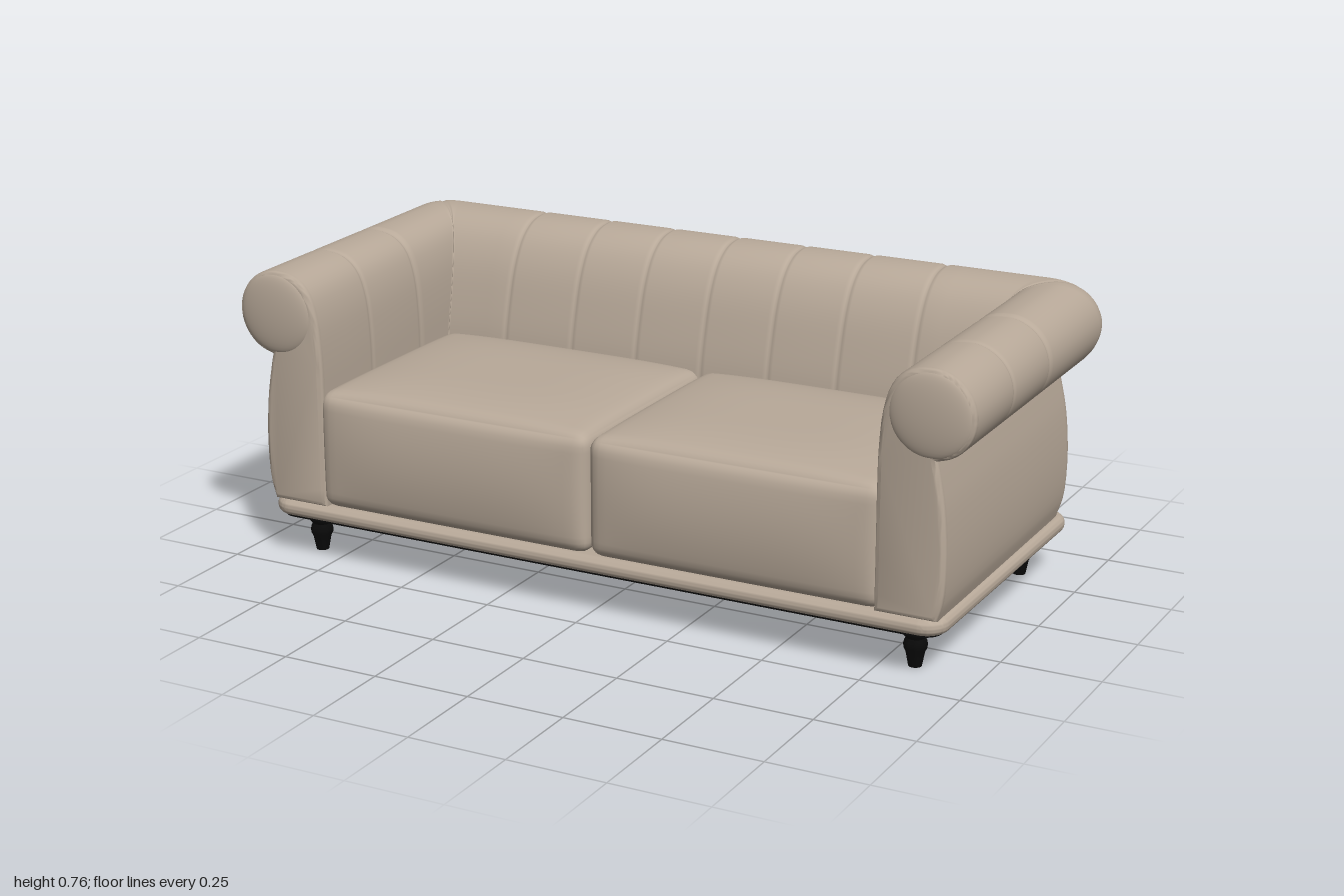
import * as THREE from 'three';
import { mergeVertices, toCreasedNormals } from 'three/addons/utils/BufferGeometryUtils.js';

const V = (a, b, y) => new THREE.Vector3(a, b, y);
const { clamp, lerp } = THREE.MathUtils;

// Cross-sections hold (arm distance from x = 0, back distance from z = 0, height)
function padSection() {
  const pts = [V(.755, .15, .15), V(.755, .15, .3), V(.755, .153, .44), V(.757, .175, .55),
    V(.767, .205, .645), V(.79, .245, .71), V(.83, .295, .745)];
  for (let deg = 90; deg >= -80; deg -= 17) {
    const t = deg * Math.PI / 180, c = Math.cos(t) * .11, s = Math.sin(t) * .11;
    pts.push(V(.885 + c, .353 + c, .645 + s));
  }
  return new THREE.CatmullRomCurve3(pts).getPoints(56);
}

function panelSection() {
  return new THREE.CatmullRomCurve3([V(.902, .375, .55), V(.912, .388, .5), V(.925, .401, .42),
    V(.932, .408, .3), V(.926, .403, .2), V(.912, .39, .15)]).getPoints(16);
}

// Stations along one half of the U: down the arm, round the corner, along the back
function halfStations(armSeams, backSeams, groove) {
  const withSeams = (list, seams) => {
    const out = list.map(t => ({ t, g: 0 }));
    for (const s of seams)
      for (const [d, k] of [[-.014, 0], [-.005, .55], [0, 1], [.005, .55], [.014, 0]])
        out.push({ t: s + d, g: k * groove });
    return out.filter(o => o.t > -.04).sort((p, q) => q.t - p.t);
  };
  const arm = withSeams([.43, .32, .1, -.039], armSeams).map(o => ({ kind: 'arm', ...o }));
  const corner = [];
  for (let i = 0; i <= 12; i++) corner.push({ kind: 'corner', t: i / 12, g: i === 6 ? groove * .6 : 0 });
  const back = withSeams([.64, .48, .28, .1, 0], backSeams)
    .filter(o => o.t >= 0 && !(o.t === 0 && o.g === 0 && backSeams.includes(0)))
    .map(o => ({ kind: 'back', ...o }));
  return [...arm, ...corner, ...back];
}

function place(p, st) {
  // Seams are pulled in toward the core of the roll
  const q = p.clone();
  if (st.g) q.add(V(.86, .32, .6).sub(p).normalize().multiplyScalar(st.g));
  const r = .004 + .1 * clamp((p.x - .8) / .19, 0, 1);
  if (st.kind === 'arm') return [q.x, q.z + .008 * clamp((.43 - st.t) / .8, 0, 1), -0 + st.t];
  if (st.kind === 'back') return [st.t, q.z + .008, -q.y];
  const t = st.t * Math.PI / 2;
  return [q.x - r + r * Math.cos(t), q.z + .008, -q.y + r - r * Math.sin(t)];
}

function sweep(section, half) {
  const rows = half.map(st => section.map(p => place(p, st)));
  const mirrored = rows.slice(0, -1).reverse().map(row => row.map(([x, y, z]) => [-x, y, z]));
  const all = [...rows, ...mirrored], n = section.length, index = [];
  for (let i = 0; i < all.length - 1; i++)
    for (let j = 0; j < n - 1; j++) {
      const a = i * n + j, b = a + 1, c = a + n, d = c + 1;
      index.push(a, b, c, b, d, c);
    }
  const g = new THREE.BufferGeometry();
  g.setAttribute('position', new THREE.Float32BufferAttribute(all.flat(2), 3));
  g.setIndex(index);
  g.computeVertexNormals();
  return g;
}

// Plump cushion: rounded box whose top and front swell outward
function cushionGeometry(w, h, d, r) {
  const g = new THREE.BoxGeometry(2, 2, 2, 28, 20, 28);
  g.deleteAttribute('uv');
  g.deleteAttribute('normal');
  const pos = g.attributes.position, size = V(w / 2, h / 2, d / 2), p = V(0, 0, 0);
  for (let i = 0; i < pos.count; i++) {
    p.fromBufferAttribute(pos, i);
    const [u, v, k] = p.toArray().map(c => Math.sin(c * Math.PI / 2));
    p.set(u, v, k).multiply(size);
    const inner = V(...p.toArray().map((c, a) => clamp(c, -size.getComponent(a) + r, size.getComponent(a) - r)));
    p.sub(inner).setLength(r).add(inner);
    if (v > 0) p.y += .026 * v * (1 - u ** 4) * (1 - k ** 4);
    if (k > 0) p.z += .02 * k * (1 - u ** 4) * (1 - v * v);
    pos.setXYZ(i, p.x, p.y, p.z);
  }
  const merged = mergeVertices(g, 1e-5);
  merged.computeVertexNormals();
  return merged;
}

// Rounded rectangle in x and z, extruded upward
function slab(x, zBack, zFront, r, y0, y1, bevel) {
  const s = new THREE.Shape();
  const lo = -zFront, hi = -zBack;
  s.moveTo(-x + r, lo);
  s.lineTo(x - r, lo);
  s.absarc(x - r, lo + r, r, -Math.PI / 2, 0);
  s.lineTo(x, hi - r);
  s.absarc(x - r, hi - r, r, 0, Math.PI / 2);
  s.lineTo(-x + r, hi);
  s.absarc(-x + r, hi - r, r, Math.PI / 2, Math.PI);
  s.lineTo(-x, lo + r);
  s.absarc(-x + r, lo + r, r, Math.PI, Math.PI * 1.5);
  const g = new THREE.ExtrudeGeometry(s, {
    depth: y1 - y0 - 2 * bevel, bevelEnabled: bevel > 0, bevelThickness: bevel,
    bevelSize: bevel, bevelOffset: -bevel, bevelSegments: 6, curveSegments: 10 });
  g.rotateX(-Math.PI / 2).translate(0, y0 + bevel, 0);
  return toCreasedNormals(g, .7);
}

export function createModel() {
  const model = new THREE.Group();
  model.name = 'sofa';
  const leather = new THREE.MeshStandardMaterial({ color: 0xb8a999 });
  leather.name = 'beige leather';
  const black = new THREE.MeshStandardMaterial({ color: 0x0a0a0a });
  black.name = 'black wood';
  const add = (name, geometry, material, parent = model) => {
    const mesh = new THREE.Mesh(geometry, material);
    mesh.name = name;
    parent.add(mesh);
    return mesh;
  };

  // Rolled arms and back in one mitred run, with the plain outer panels below
  const pad = padSection(), panel = panelSection();
  add('rolledArmsAndBack', sweep(pad, halfStations([.21, -.018], [.58, .38, .19, 0], .006)), leather);
  add('outerPanels', sweep(panel, halfStations([], [0], .006)), leather);

  // Arm fronts with a domed disc on the roll
  const outline = [...pad, ...panel.slice(2)].map(p => new THREE.Vector2(p.x, p.z));
  const capGeometry = toCreasedNormals(new THREE.ExtrudeGeometry(new THREE.Shape(outline), {
    depth: .001, bevelThickness: .016, bevelSize: .014, bevelOffset: -.014, bevelSegments: 5 }), .8);
  capGeometry.translate(0, 0, .429);
  const discGeometry = new THREE.SphereGeometry(1, 40, 20);
  for (const side of [1, -1]) {
    const front = new THREE.Group();
    front.name = side > 0 ? 'leftArmFront' : 'rightArmFront';
    front.scale.x = side;
    model.add(front);
    add('armFrontPanel', capGeometry, leather, front);
    const disc = add('rollDisc', discGeometry, leather, front);
    disc.position.set(.885, .645, .441);
    disc.scale.set(.103, .103, .019);
  }

  // Two seat cushions
  const cushion = cushionGeometry(.772, .305, .63, .035);
  for (const side of [1, -1])
    add(side > 0 ? 'leftCushion' : 'rightCushion', cushion, leather).position.set(side * .386, .3025, .13);

  // Piped base and black underside
  add('baseRail', slab(.927, -.41, .452, .06, .11, .152, .019), leather);
  add('underside', slab(.908, -.393, .435, .045, .105, .113, 0), black);

  // Turned legs
  const profile = [[0, 0], [.016, 0], [.019, .015], [.023, .036], [.028, .047], [.029, .055], [.027, .064],
    [.023, .072], [.03, .08], [.033, .09], [.033, .108], [0, .108]].map(([x, y]) => new THREE.Vector2(x, y));
  const legGeometry = toCreasedNormals(new THREE.LatheGeometry(profile, 24), .6);
  for (const x of [-.83, .83])
    for (const z of [.36, -.31])
      add(z > 0 ? 'frontLeg' : 'backLeg', legGeometry, black).position.set(x, 0, z);

  return model;
}
